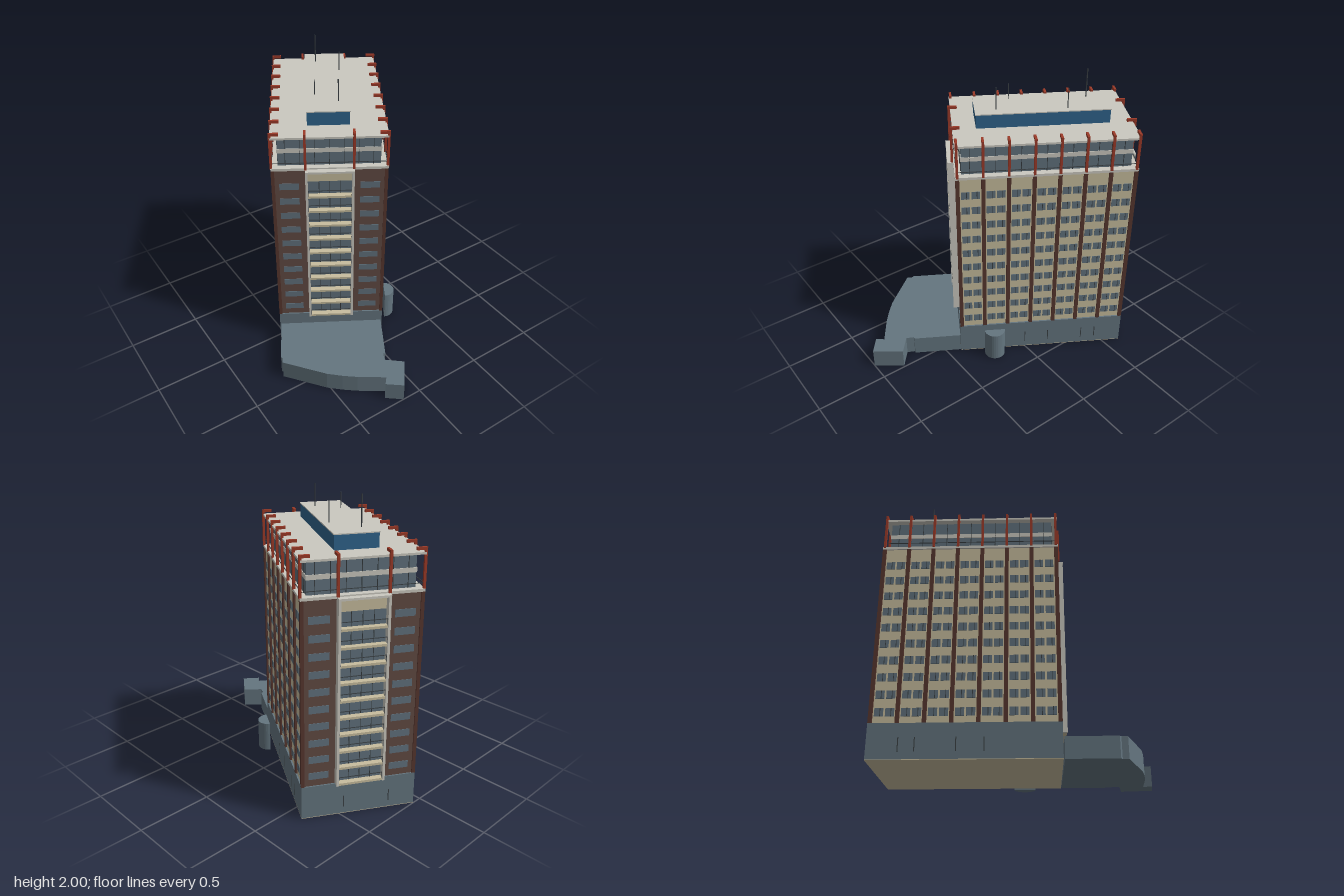
import * as THREE from 'three';
import { mergeGeometries } from 'three/addons/utils/BufferGeometryUtils.js';

const material = (name, color) => {
  const m = new THREE.MeshStandardMaterial({ color });
  m.name = name;
  return m;
};
const M = {
  brick: material('brown brick', 0x624a43),
  pier: material('dark red brown', 0x57362e),
  beige: material('beige panel', 0xc8bd9e),
  glass: material('grey blue glass', 0x61727d),
  base: material('slate cladding', 0x64757f),
  roof: material('pale concrete', 0xcbc9c0),
  red: material('rust red steel', 0x9c3a28),
  blue: material('blue cladding', 0x2f648c),
  dark: material('dark metal', 0x3a4044),
};

// Box given by size, centre in x and z, and bottom height
const box = (w, h, d, x, y, z) => new THREE.BoxGeometry(w, h, d).translate(x, y + h / 2, z);

function add(parent, name, mat, ...geometries) {
  const mesh = new THREE.Mesh(geometries.length > 1 ? mergeGeometries(geometries) : geometries[0], mat);
  mesh.name = name;
  parent.add(mesh);
  return mesh;
}

const FLOORS = 10, PITCH = 0.1155, BASE = 0.23, TOP = 1.465;
const BAY = 0.166;
const pierZ = Array.from({ length: 8 }, (_, i) => (i - 3.5) * BAY);
const SIDES = [-1, 1];

function extrudeUp(points, height) {
  const shape = new THREE.Shape(points.map(([x, z]) => new THREE.Vector2(x, -z)));
  return new THREE.ExtrudeGeometry(shape, { depth: height, bevelEnabled: false }).rotateX(-Math.PI / 2);
}

// Long facade on +x; mirrored by a half turn
function longFacade() {
  const g = new THREE.Group();
  g.name = 'longFacade';
  add(g, 'beigeWall', M.beige, box(0.006, TOP - BASE, 1.16, 0.361, BASE, 0));
  add(g, 'piers', M.pier, ...pierZ.map(z => box(0.022, TOP - BASE, 0.026, 0.365, BASE, z)));
  const panes = [], mullions = [];
  for (let f = 0; f < FLOORS; f++) {
    const y = BASE + 0.045 + f * PITCH;
    for (let b = 0; b < 7; b++) {
      for (const s of SIDES) {
        const z = (b - 3) * BAY + s * 0.034;
        panes.push(box(0.004, 0.054, 0.056, 0.365, y, z));
        mullions.push(box(0.004, 0.054, 0.004, 0.367, y, z - 0.008));
      }
    }
  }
  add(g, 'windows', M.glass, ...panes);
  add(g, 'windowMullions', M.dark, ...mullions);
  return g;
}

// Short facade on +z with the projecting balcony stack
function shortFacade() {
  const g = new THREE.Group();
  g.name = 'shortFacade';
  const windows = [], floors = [], rails = [], frames = [];
  for (let f = 0; f < FLOORS; f++) {
    const y = BASE + f * PITCH;
    for (const s of SIDES) {
      windows.push(box(0.128, 0.048, 0.004, s * 0.262, y + 0.047, 0.586));
      // Balcony end posts
      rails.push(box(0.004, 0.05, 0.004, s * 0.142, y + 0.01, 0.624));
    }
    floors.push(box(0.29, 0.016, 0.04, 0, y, 0.606));
    rails.push(box(0.29, 0.004, 0.004, 0, y + 0.056, 0.624));
    for (const x of [-0.07, 0, 0.07]) frames.push(box(0.004, 0.095, 0.004, x, y + 0.016, 0.589));
  }
  add(g, 'sideWindows', M.glass, ...windows);
  add(g, 'balconyGlazing', M.glass, box(0.29, 1.15, 0.006, 0, BASE, 0.586));
  add(g, 'balconyTopPanel', M.beige, box(0.29, 0.085, 0.008, 0, 1.38, 0.587));
  add(g, 'balconyFloors', M.beige, ...floors);
  add(g, 'balconyRails', M.dark, ...rails);
  add(g, 'balconyWindowFrames', M.dark, ...frames);
  add(g, 'balconyFins', M.roof, ...SIDES.map(s => box(0.016, TOP - BASE, 0.049, s * 0.15, BASE, 0.607)));
  add(g, 'balconyCap', M.roof, box(0.316, 0.014, 0.05, 0, TOP - 0.005, 0.608));
  return g;
}

// Post with an inward hook at the top, outer face on +x
function hookedPost() {
  return [
    box(0.016, 0.25, 0.016, 0, 1.478, 0),
    box(0.064, 0.018, 0.016, -0.024, 1.716, 0),
  ];
}

function crown() {
  const g = new THREE.Group();
  g.name = 'crown';
  add(g, 'terraceSlab', M.roof, box(0.752, 0.018, 1.19, 0, TOP, 0));
  add(g, 'topStoreyGlass', M.glass, box(0.66, 0.21, 1.104, 0, 1.482, 0));
  add(g, 'topStoreyBand', M.roof, box(0.668, 0.03, 1.112, 0, 1.575, 0));
  add(g, 'roofSlab', M.roof, box(0.746, 0.014, 1.184, 0, 1.69, 0));
  // Slim mullions around the glazed storey
  const mullions = [];
  for (const s of SIDES) {
    for (let i = -6; i <= 6; i++) mullions.push(box(0.004, 0.208, 0.004, s * 0.332, 1.482, i * BAY / 2));
    for (let i = -3; i <= 3; i++) mullions.push(box(0.004, 0.208, 0.004, i * 0.094, 1.482, s * 0.554));
  }
  add(g, 'topStoreyMullions', M.dark, ...mullions);
  // Terrace handrail
  add(g, 'terraceRail', M.dark,
    ...SIDES.map(s => box(0.004, 0.004, 1.17, s * 0.366, 1.515, 0)),
    ...SIDES.map(s => box(0.732, 0.004, 0.004, 0, 1.515, s * 0.585)));
  const posts = [];
  for (const s of SIDES) {
    const turn = s > 0 ? 0 : Math.PI;
    for (const z of pierZ) posts.push(...hookedPost().map(p => p.rotateY(turn).translate(s * 0.372, 0, z)));
    for (const x of [-0.155, 0.155]) {
      posts.push(...hookedPost().map(p => p.rotateY(-s * Math.PI / 2).translate(x, 0, s * 0.602)));
    }
  }
  add(g, 'hookedPosts', M.red, ...posts);
  add(g, 'plantRoom', M.blue, box(0.274, 0.094, 0.878, 0, 1.703, 0));
  add(g, 'plantRoomRoof', M.roof, box(0.282, 0.007, 0.886, 0, 1.796, 0));
  return g;
}

export function createModel() {
  const model = new THREE.Group();
  model.name = 'towerBlock';

  // Tower, turned on the plot
  const tower = new THREE.Group();
  tower.name = 'tower';
  tower.position.set(0.085, 0, -0.295);
  tower.rotation.y = -0.537;
  model.add(tower);

  add(tower, 'underside', M.beige, box(0.75, 0.004, 1.188, 0, 0, 0));
  add(tower, 'podium', M.base, box(0.75, BASE - 0.004, 1.188, 0, 0.004, 0));
  add(tower, 'brickBody', M.brick, box(0.72, TOP - BASE, 1.17, 0, BASE, 0));
  // Narrow podium slots
  const slots = [];
  for (const s of SIDES) {
    for (const z of [0.12, -0.05, -0.3, -0.4]) slots.push(box(0.004, 0.09, 0.006, s * 0.375, 0.05, z));
  }
  for (const x of [-0.2, 0.1]) slots.push(box(0.006, 0.08, 0.004, x, 0.05, -0.594));
  add(tower, 'podiumSlots', M.dark, ...slots);

  for (const turn of [0, Math.PI]) {
    for (const facade of [longFacade(), shortFacade()]) {
      facade.rotation.y = turn;
      tower.add(facade);
    }
  }
  tower.add(crown());

  // Half-round shaft standing beside the long wall
  const arc = Array.from({ length: 17 }, (_, i) => {
    const a = -Math.PI / 2 + i * Math.PI / 16;
    return [0.415 + 0.073 * Math.cos(a), 0.347 + 0.073 * Math.sin(a)];
  });
  add(tower, 'halfRoundShaft', M.base, extrudeUp(arc, 0.215));

  // Low annex in front
  add(model, 'annex', M.base, extrudeUp([
    [-0.538, 0.035], [-0.705, 0.32], [-0.70, 0.335], [-0.72, 0.37], [-0.52, 0.625], [-0.44, 0.70],
    [-0.36, 0.765], [-0.20, 0.875], [-0.24, 0.92], [-0.14, 1.0], [-0.01, 0.83], [-0.115, 0.74],
    [-0.09, 0.69], [-0.075, 0.695], [0.095, 0.405],
  ], 0.14));

  // Roof masts: x, z, top, radius
  for (const [x, z, top, r] of [
    [-0.09, -0.16, 1.91, 0.003], [-0.01, 0, 1.955, 0.004],
    [0.19, -0.597, 2.0, 0.004], [0.25, -0.385, 1.94, 0.003],
  ]) {
    add(model, 'mast', M.dark, new THREE.CylinderGeometry(r, r, top - 1.7, 8).translate(x, (top + 1.7) / 2, z));
  }
  return model;
}
